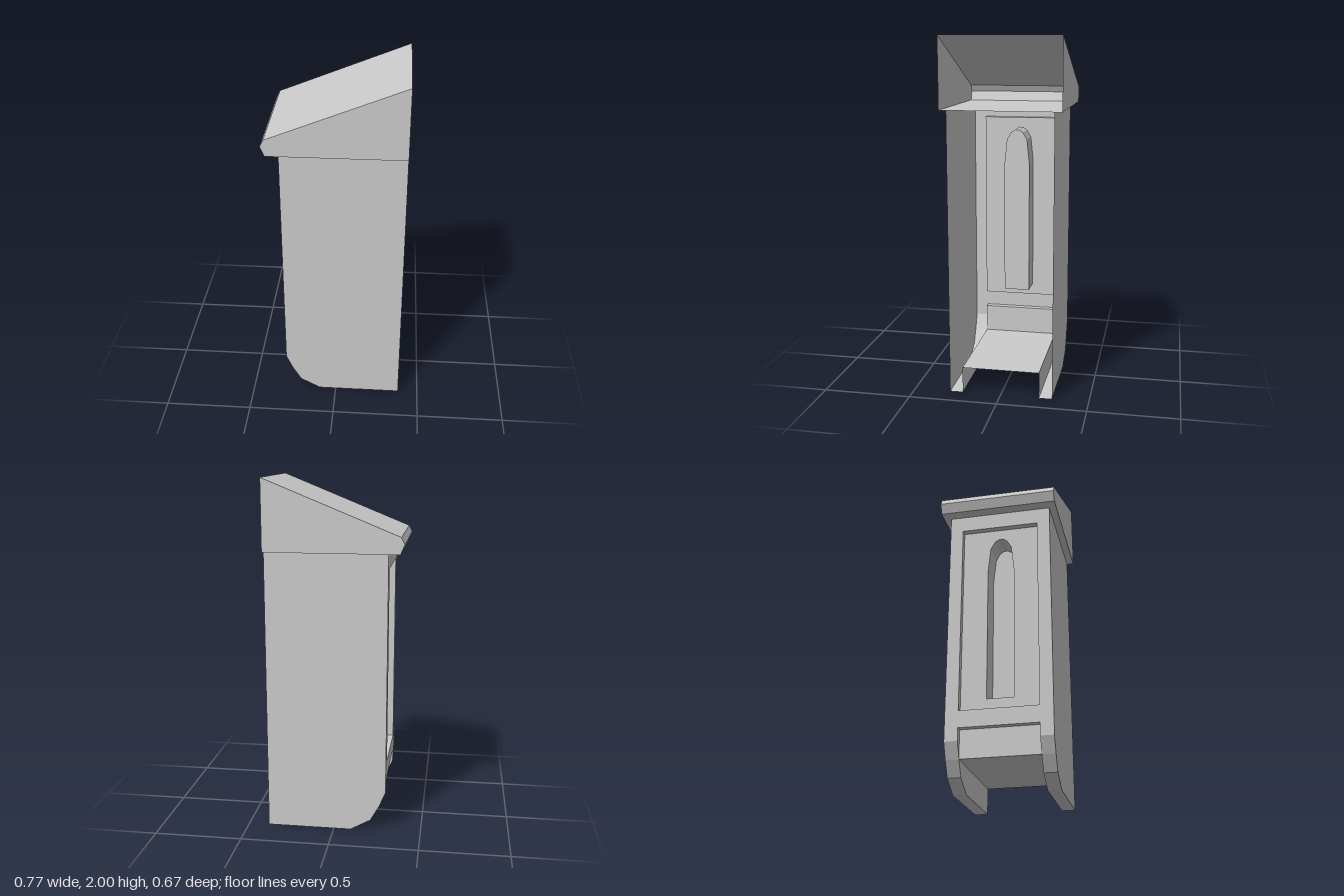
import * as THREE from 'three';

const mat = new THREE.MeshStandardMaterial({ color: 0xcccccc, side: THREE.DoubleSide, flatShading: true });
const V = (x, y, z) => new THREE.Vector3(x, y, z);

function add(group, name, geometry) {
  const mesh = new THREE.Mesh(geometry, mat);
  mesh.name = name;
  group.add(mesh);
  return mesh;
}

// Sweep a 3D polyline along a vector into flat quads
function band(points, offset) {
  const pos = [];
  for (let i = 0; i < points.length - 1; i++) {
    const a = points[i], b = points[i + 1];
    const c = b.clone().add(offset), d = a.clone().add(offset);
    for (const p of [a, b, c, a, c, d]) pos.push(p.x, p.y, p.z);
  }
  const g = new THREE.BufferGeometry();
  g.setAttribute('position', new THREE.Float32BufferAttribute(pos, 3));
  g.computeVertexNormals();
  return g;
}

const toShape = (pts, holes = []) => {
  const s = new THREE.Shape(pts.map(p => new THREE.Vector2(...p)));
  for (const h of holes) s.holes.push(new THREE.Path(h.map(p => new THREE.Vector2(...p))));
  return s;
};

// Flat sheet of (x, y) points at a given z
const sideSheet = (pts, z) => {
  const g = new THREE.ShapeGeometry(toShape(pts));
  if (z < 0) g.scale(1, 1, -1).index.array.reverse();
  g.translate(0, 0, z);
  g.computeVertexNormals();
  return g;
};

// Flat sheet of (z, y) points at a given x, facing -x
const faceSheet = (pts, x, holes) =>
  new THREE.ShapeGeometry(toShape(pts, holes)).rotateY(-Math.PI / 2).translate(x, 0, 0);

// Walls of a recess following (z, y) points from x0 to x1
const reveal = (pts, x0, x1) => band(pts.map(([z, y]) => V(x0, y, z)), V(x1 - x0, 0, 0));

export function createModel() {
  const model = new THREE.Group();
  const back = 0.383, front = -0.298, inset = -0.26, slotBack = -0.12;
  const W = 0.293, L = 0.219, top = 1.605, floorY = 0.153;

  // Sloping hood, open at the back
  const hood = new THREE.Group();
  hood.name = 'hood';
  model.add(hood);
  const H = 0.334;
  const hoodProfile = [[back, 1.605], [-0.363, 1.605], [-0.386, 1.66], [-0.367, 1.697], [back, 2]];
  add(hood, 'hoodShell', band(hoodProfile.map(([x, y]) => V(x, y, H)), V(0, 0, -2 * H)));
  for (const s of [1, -1]) add(hood, 'hoodSide', sideSheet(hoodProfile, s * H));

  // Side walls with the curved toe, running down into hollow feet
  const body = new THREE.Group();
  body.name = 'body';
  model.add(body);
  const toe = [[front, 0.24], [inset, floorY], [-0.212, 0.068], [-0.098, 0.004]];
  const sole = [...toe, [back, 0.004]];
  for (const s of [1, -1]) {
    add(body, 'sideWall', sideSheet([[back, top], [front, top], ...sole], s * W));
    add(body, 'footInnerWall', sideSheet([...sole.slice(1), [back, floorY]], s * L));
    add(body, 'footSole', band(sole.map(([x, y]) => V(x, y, s * W)), V(0, 0, s * (L - W))));
  }
  add(body, 'floor', band([V(back, floorY, L), V(inset, floorY, L)], V(0, 0, -2 * L)));

  // Front frame with the upper panel opening and the lower notch
  const panel = [[-L, 0.407], [L, 0.407], [L, 1.513], [-L, 1.513]];
  const notch = [[L, 0.24], [L, 0.312], [-L, 0.312], [-L, 0.24]];
  add(body, 'frontFrame', faceSheet(
    [[W, 0.24], [W, top], [-W, top], [-W, 0.24], ...notch.slice().reverse()], front, [panel]));

  // Recessed upper panel with a tall arched niche
  const half = [[0.075, 0.475], [0.075, 1.25], [0.06, 1.395], [0.035, 1.438], [0.012, 1.453]];
  const niche = [...half, ...half.map(([z, y]) => [-z, y]).reverse()];
  add(body, 'panelReveal', reveal([...panel, panel[0]], front, inset));
  add(body, 'upperPanel', faceSheet(panel, inset, [niche]));
  add(body, 'nicheReveal', reveal([...niche, niche[0]], inset, slotBack));
  add(body, 'nicheBack', faceSheet(niche, slotBack));

  // Recessed lower panel, its cheeks tapering away along the toe curve
  add(body, 'lowerPanel', faceSheet([[-L, floorY], [L, floorY], [L, 0.312], [-L, 0.312]], inset));
  add(body, 'lowerPanelTop', reveal([notch[1], notch[2]], front, inset));
  for (const s of [1, -1])
    add(body, 'lowerPanelCheek', sideSheet([[front, 0.24], [inset, floorY], [inset, 0.312], [front, 0.312]], s * L));

  return model;
}
